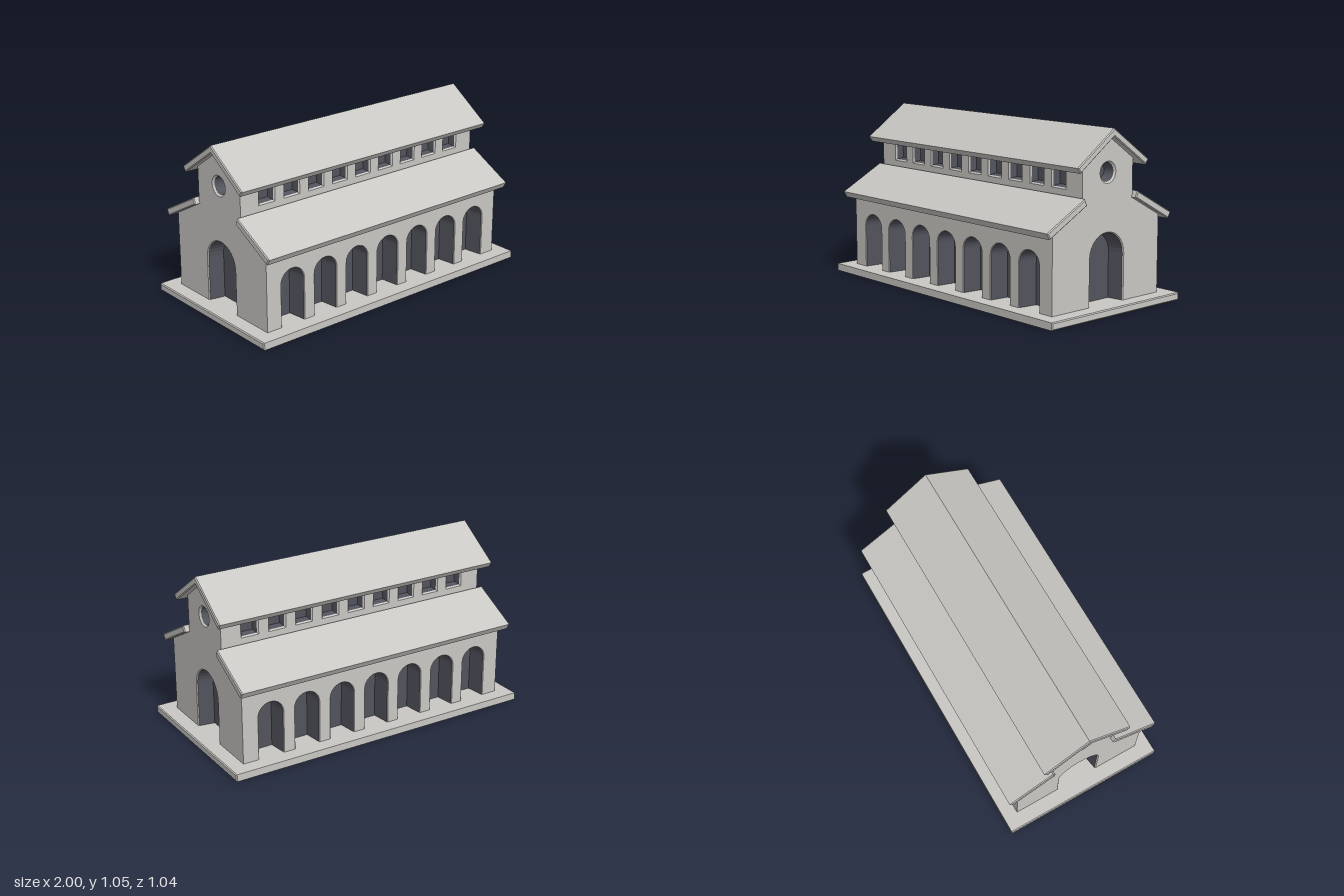
import * as THREE from 'three';
import { mergeGeometries } from 'three/addons/utils/BufferGeometryUtils.js';

const stone = new THREE.MeshStandardMaterial({ color: 0xc9c7c3, side: THREE.DoubleSide });
stone.name = 'pale stone';
const dark = new THREE.MeshStandardMaterial({ color: 0x53535d, side: THREE.DoubleSide });
dark.name = 'dark recess';

const pts = (list) => list.map(([x, y]) => new THREE.Vector2(x, y));

function mesh(name, geometry, material) {
  const m = new THREE.Mesh(geometry, material);
  m.name = name;
  return m;
}

// Counter-clockwise opening outlines, each shrinkable by an inset
function arch(cx, w, springY) {
  return (inset) => {
    const r = w - inset;
    const list = [[cx - r, 0.035], [cx + r, 0.035]];
    for (let i = 0; i <= 16; i++) {
      const a = (Math.PI * i) / 16;
      list.push([cx + r * Math.cos(a), springY + r * Math.sin(a)]);
    }
    return pts(list);
  };
}
function square(cx, cy, w) {
  return (inset) => {
    const r = w - inset;
    return pts([[cx - r, cy - r], [cx + r, cy - r], [cx + r, cy + r], [cx - r, cy + r]]);
  };
}
function round(cx, cy, w) {
  return (inset) => pts(Array.from({ length: 24 }, (_, i) => {
    const a = (i / 24) * Math.PI * 2;
    return [cx + (w - inset) * Math.cos(a), cy + (w - inset) * Math.sin(a)];
  }));
}

// Band joining two outlines at different depths, facing into the opening
function band(front, zFront, back, zBack) {
  const pos = [];
  front.forEach((p, i) => {
    const j = (i + 1) % front.length;
    const a = [p.x, p.y, zFront], b = [front[j].x, front[j].y, zFront];
    const c = [back[j].x, back[j].y, zBack], d = [back[i].x, back[i].y, zBack];
    pos.push(...a, ...b, ...c, ...a, ...c, ...d);
  });
  const g = new THREE.BufferGeometry();
  g.setAttribute('position', new THREE.Float32BufferAttribute(pos, 3));
  g.computeVertexNormals();
  return g;
}

// Flat wall facing +z, pierced by recessed openings
function wall(name, outline, openings) {
  const group = new THREE.Group();
  group.name = name;
  const shape = new THREE.Shape(pts(outline));
  const lips = [], reveals = [], panels = [];
  for (const { path, lip, inset, depth } of openings) {
    shape.holes.push(new THREE.Path(path(0)));
    lips.push(band(path(0), 0, path(lip), -lip));
    reveals.push(band(path(lip), -lip, path(inset), -depth));
    panels.push(new THREE.ShapeGeometry(new THREE.Shape(path(inset))).translate(0, 0, -depth));
  }
  group.add(
    mesh('wallFace', new THREE.ShapeGeometry(shape), stone),
    mesh('openingLips', mergeGeometries(lips), stone),
    mesh('openingReveals', mergeGeometries(reveals), dark),
    mesh('openingPanels', mergeGeometries(panels), dark)
  );
  return group;
}

// Bevelled bar running along x, from a (z, y) cross-section
function bar(name, profile, halfLength) {
  const bevel = 0.006;
  const g = new THREE.ExtrudeGeometry(new THREE.Shape(pts(profile)), {
    depth: 2 * (halfLength - bevel), bevelEnabled: true, bevelSegments: 1,
    bevelSize: bevel, bevelThickness: bevel, bevelOffset: -bevel,
  });
  g.translate(0, 0, -(halfLength - bevel)).rotateY(-Math.PI / 2);
  return mesh(name, g, stone);
}

export function createModel() {
  const model = new THREE.Group();
  model.name = 'basilica';

  // Base slab
  model.add(bar('baseSlab', [[-0.52, 0], [0.52, 0], [0.52, 0.045], [-0.52, 0.045]], 1));

  // Long walls: arcade below, clerestory windows above
  const arches = Array.from({ length: 7 }, (_, i) => ({
    path: arch((i - 3) * 0.24, 0.085, 0.308), lip: 0.004, inset: 0.017, depth: 0.12,
  }));
  const windows = Array.from({ length: 9 }, (_, i) => ({
    path: square((i - 4) * 0.18, 0.77, 0.058), lip: 0.008, inset: 0.016, depth: 0.05,
  }));
  for (const side of [1, -1]) {
    const turn = side > 0 ? 0 : Math.PI;
    const label = side > 0 ? 'front' : 'back';
    const aisle = wall(label + 'ArcadeWall',
      [[-0.905, 0.02], [0.905, 0.02], [0.905, 0.51], [-0.905, 0.51]], arches);
    aisle.position.z = side * 0.43;
    const upper = wall(label + 'ClerestoryWall',
      [[-0.905, 0.6], [0.905, 0.6], [0.905, 0.87], [-0.905, 0.87]], windows);
    upper.position.z = side * 0.203;
    aisle.rotation.y = upper.rotation.y = turn;
    model.add(aisle, upper);

    // Lean-to roof over the aisle
    const lean = [[0.48, 0.485], [0.502, 0.522], [0.213, 0.678], [0.195, 0.64]];
    model.add(bar(label + 'AisleRoof', lean.map(([z, y]) => [side * z, y]), 0.94));
  }

  // Gable walls with door and round window
  const half = [[0.43, 0.02], [0.43, 0.515], [0.203, 0.637], [0.203, 0.87]];
  const gable = [...half, [0, 1.01], ...half.map(([x, y]) => [-x, y]).reverse()];
  const gableOpenings = [
    { path: arch(0, 0.14, 0.322), lip: 0.006, inset: 0.022, depth: 0.1 },
    { path: round(0, 0.803, 0.064), lip: 0.01, inset: 0.023, depth: 0.07 },
  ];
  for (const side of [1, -1]) {
    const g = wall(side > 0 ? 'leftGable' : 'rightGable', gable, gableOpenings);
    g.position.x = side * 0.905;
    g.rotation.y = (side * Math.PI) / 2;
    model.add(g);
  }

  // Main pitched roof
  model.add(bar('mainRoof',
    [[0, 1.055], [-0.285, 0.857], [-0.263, 0.825], [0, 1.008], [0.263, 0.825], [0.285, 0.857]], 0.953));

  return model;
}
